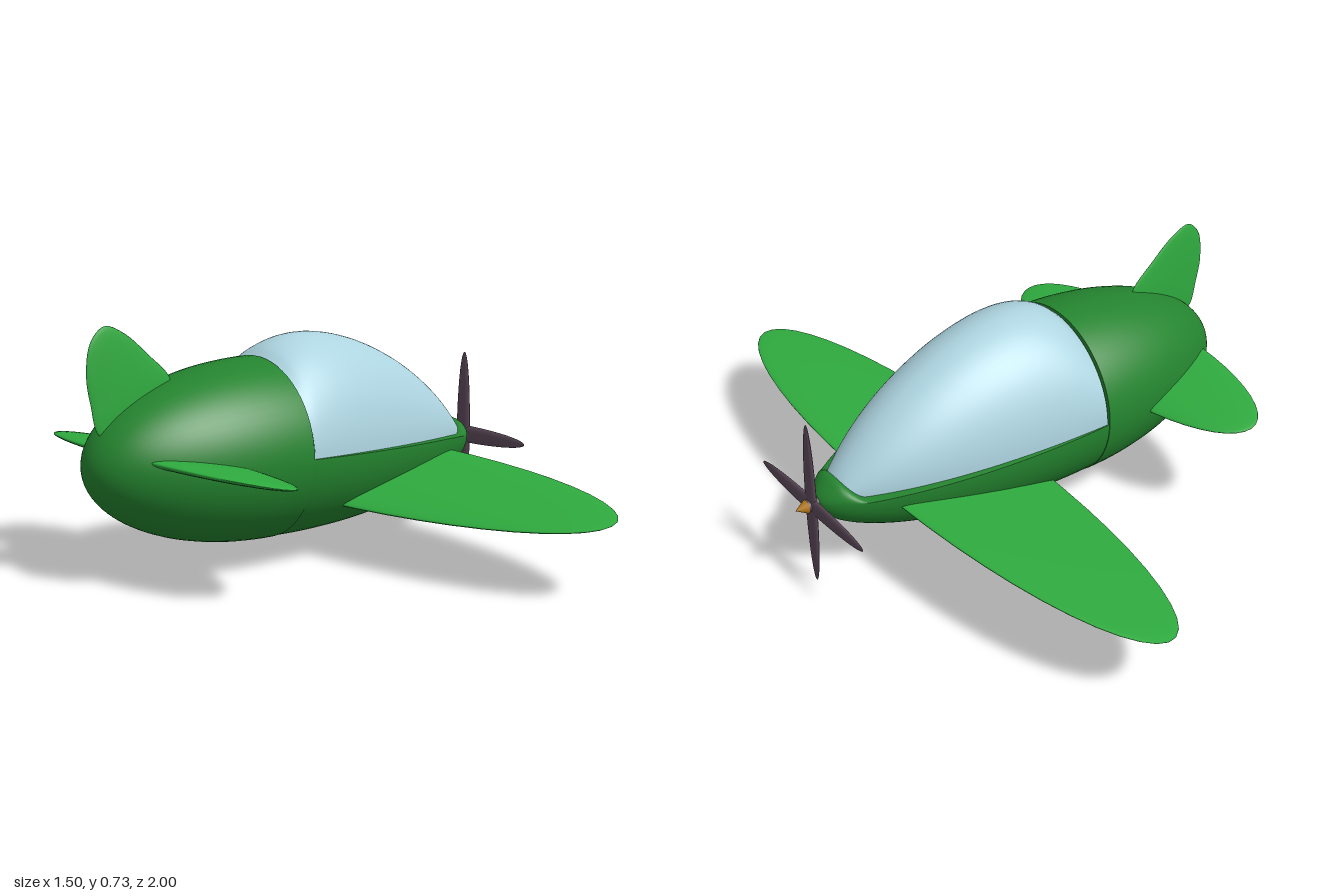
import * as THREE from 'three';

const GREEN = 0x24842f, LEAF = 0x2fab3f, GLASS = 0xadd4e0, DARK = 0x5c4a5a, GOLD = 0xb47a1c;

function part(name, geometry, color, doubleSided = false) {
  const material = new THREE.MeshStandardMaterial({ color });
  if (doubleSided) material.side = THREE.DoubleSide;
  const mesh = new THREE.Mesh(geometry, material);
  mesh.name = name;
  return mesh;
}

// Skin over equal-length rings of points; closed joins each ring's end to its start.
function loft(rings, closed = true) {
  const n = rings[0].length, index = [];
  for (let i = 0; i < rings.length - 1; i++) {
    for (let j = 0; j < (closed ? n : n - 1); j++) {
      const k = (j + 1) % n;
      const a = i * n + j, b = a + n, c = i * n + k, d = c + n;
      index.push(a, b, c, b, d, c);
    }
  }
  const geometry = new THREE.BufferGeometry().setFromPoints(rings.flat());
  geometry.setIndex(index);
  geometry.computeVertexNormals();
  return geometry;
}

// Flattened ellipsoid with the given half sizes.
function ellipsoid(name, rx, ry, rz, color) {
  const mesh = part(name, new THREE.SphereGeometry(1, 48, 32), color);
  mesh.scale.set(rx, ry, rz);
  return mesh;
}

const JOINT = -0.17, NOSE = 0.68, RADIUS = 0.266;
const along = (x) => (x - JOINT) / (NOSE - JOINT);
const hullRadius = (x) => RADIUS * Math.pow(Math.max(1 - along(x) ** 2, 0), 0.55);
const rimHeight = (x) => 0.337 - 0.035 * along(x) - 0.027 * along(x) ** 6;

// Rear hull: half ellipsoid of revolution with a flat bulkhead
function rearHull() {
  const group = new THREE.Group();
  group.name = 'rearHull';
  const shell = part('rearShell',
    new THREE.SphereGeometry(1, 64, 32, 0, Math.PI * 2, 0, Math.PI / 2), GREEN, true);
  shell.rotation.z = Math.PI / 2;
  shell.scale.set(0.268, 0.58, 0.268);
  const bulkhead = part('bulkhead', new THREE.CircleGeometry(0.268, 64), GREEN);
  bulkhead.rotation.y = Math.PI / 2;
  group.add(shell, bulkhead);
  group.position.set(JOINT, 0.337, 0);
  return group;
}

// Front hull: round belly, nearly flat deck under the canopy, rounded nose
function frontHull() {
  const rings = [];
  for (let i = 0; i <= 56; i++) {
    const x = JOINT + (NOSE - JOINT) * Math.sin((i / 56) * Math.PI / 2);
    const r = hullRadius(x), y = rimHeight(x);
    const deck = r * (0.03 + 0.6 * THREE.MathUtils.smoothstep(x, 0.57, 0.635));
    const ring = [];
    for (let j = 0; j < 64; j++) {
      const a = (j / 64) * Math.PI * 2, s = Math.sin(a);
      ring.push(new THREE.Vector3(x, y + s * (s > 0 ? deck : r), r * Math.cos(a)));
    }
    rings.push(ring);
  }
  return part('frontHull', loft(rings), GREEN);
}

// Canopy: arched sections following a top profile
function canopy() {
  const profile = new THREE.CatmullRomCurve3([
    [-0.165, 0.6], [-0.13, 0.628], [-0.07, 0.652], [0.01, 0.661], [0.1, 0.651], [0.2, 0.624],
    [0.3, 0.582], [0.4, 0.525], [0.5, 0.45], [0.58, 0.373], [0.62, 0.325], [0.638, 0.287],
  ].map(([x, y]) => new THREE.Vector3(x, y, 0)));
  const rings = profile.getPoints(60).map((p) => {
    const s = THREE.MathUtils.clamp((p.x + 0.165) / 0.8, 0, 1);
    const w = hullRadius(p.x) * (0.99 - 0.12 * s - 0.25 * s ** 8);
    const base = rimHeight(p.x) - 0.003, ring = [];
    for (let j = 0; j <= 40; j++) {
      const a = (j / 40) * Math.PI, c = Math.cos(a);
      ring.push(new THREE.Vector3(p.x, base + Math.sin(a) * (p.y - base),
        w * Math.sign(c) * Math.abs(c) ** 1.06));
    }
    return ring;
  });
  return part('canopy', loft(rings, false), GLASS, true);
}

// Tail fin: lens-shaped blade shrinking from its outline to either face
function tailFin() {
  const outline = new THREE.CatmullRomCurve3([
    [-0.47, 0.56], [-0.55, 0.645], [-0.63, 0.71], [-0.69, 0.731], [-0.735, 0.69],
    [-0.75, 0.6], [-0.738, 0.52], [-0.71, 0.43], [-0.6, 0.42], [-0.49, 0.48],
  ].map(([x, y]) => new THREE.Vector3(x, y, 0)), true).getPoints(60).slice(0, -1);
  const centre = new THREE.Vector3(-0.63, 0.56, 0), rings = [];
  for (let i = 0; i <= 16; i++) {
    const t = (i / 16 - 0.5) * Math.PI;
    rings.push(outline.map((p) => {
      const q = centre.clone().lerp(p, Math.cos(t));
      q.z = -0.012 * Math.sin(t);
      return q;
    }));
  }
  return part('tailFin', loft(rings), LEAF);
}

// Propeller: two crossed blades, hub and pointed spinner
function propeller() {
  const group = new THREE.Group();
  group.name = 'propeller';
  for (const turn of [0, Math.PI / 2]) {
    const blade = ellipsoid('propellerBlade', 0.009, 0.267, 0.028, DARK);
    blade.rotation.x = turn;
    group.add(blade);
  }
  const hub = part('hub', new THREE.CylinderGeometry(0.018, 0.018, 0.05, 24), DARK);
  hub.rotation.z = -Math.PI / 2;
  hub.position.x = -0.005;
  const spinner = part('spinner', new THREE.ConeGeometry(0.021, 0.036, 24), GOLD);
  spinner.rotation.z = -Math.PI / 2;
  spinner.position.x = 0.034;
  group.add(hub, spinner);
  group.position.set(0.695, 0.272, 0);
  return group;
}

export function createModel() {
  const plane = new THREE.Group();
  plane.name = 'airplane';

  // Main wing, leading edge raised
  const wing = ellipsoid('mainWing', 0.26, 0.024, 1, LEAF);
  wing.position.set(0.24, 0.217, 0);
  wing.rotation.z = 0.18;

  // Tail plane, leading edge lowered
  const tailPlane = ellipsoid('tailPlane', 0.17, 0.022, 0.535, LEAF);
  tailPlane.position.set(-0.485, 0.34, 0);
  tailPlane.rotation.z = -0.19;

  plane.add(rearHull(), frontHull(), canopy(), wing, tailPlane, tailFin(), propeller());
  return plane;
}
